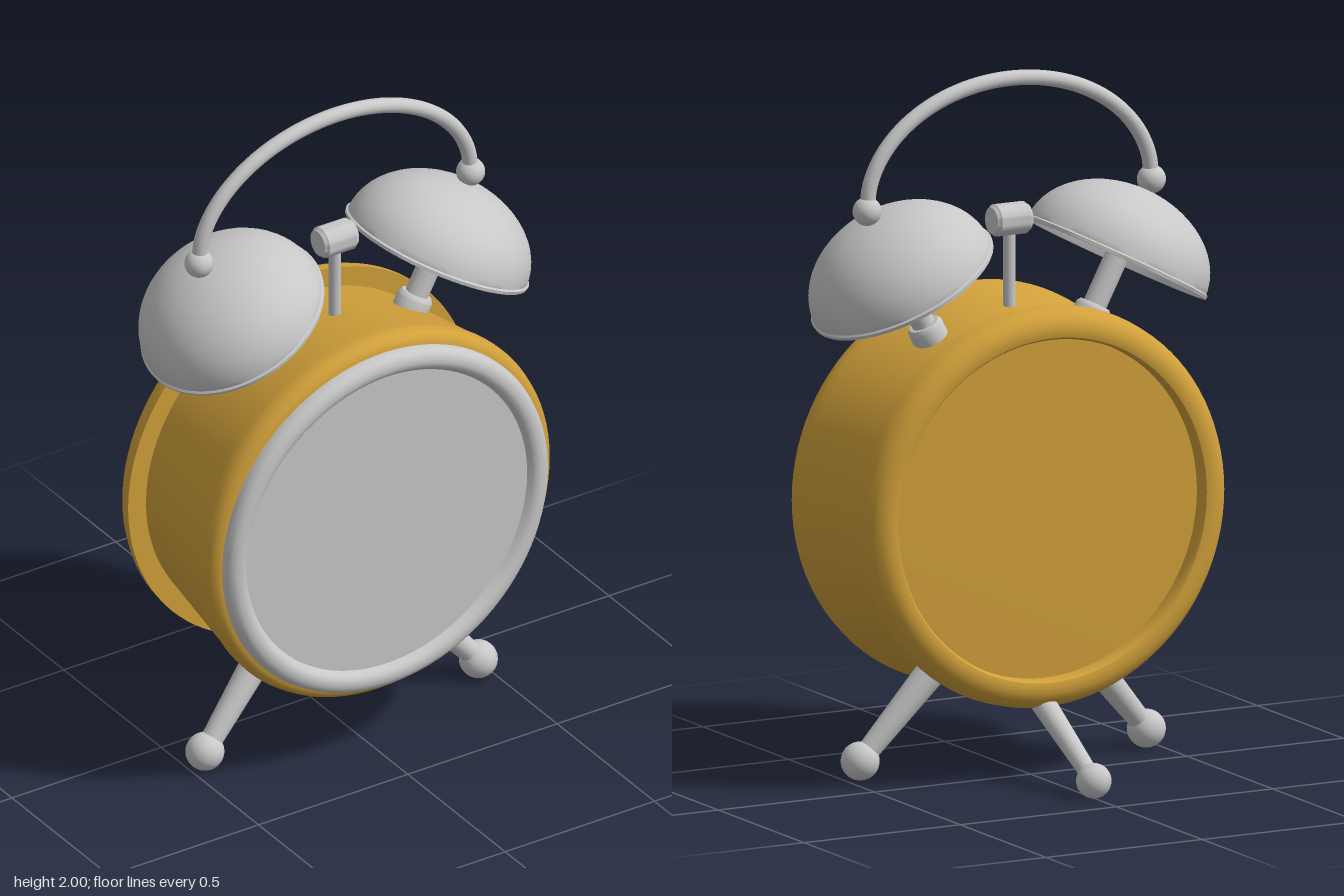
import * as THREE from 'three';
import { toCreasedNormals } from 'three/addons/utils/BufferGeometryUtils.js';

const gold = new THREE.MeshStandardMaterial({ color: 0xd0a03a });
gold.name = 'gold';
const silver = new THREE.MeshStandardMaterial({ color: 0xc8c8c8 });
silver.name = 'silver';

const CENTRE_Y = 0.785; // centre of the case
const AXIS_Z = 0.125;   // plane of bells, handle and hammer
const UP = new THREE.Vector3(0, 1, 0);
const v = (x, y, z) => new THREE.Vector3(x, y, z);

function add(parent, name, geometry, material, position = v(0, 0, 0)) {
  const mesh = new THREE.Mesh(geometry, material);
  mesh.name = name;
  mesh.position.copy(position);
  parent.add(mesh);
  return mesh;
}

// Turned solid from [radius, height] pairs, keeping sharp edges
function turned(profile, segments = 72) {
  const points = profile.map(([r, h]) => new THREE.Vector2(r, h));
  return toCreasedNormals(new THREE.LatheGeometry(points, segments), 0.65);
}

// Tapered rod between two points
function rod(parent, name, from, to, rFrom, rTo) {
  const dir = to.clone().sub(from);
  const geometry = new THREE.CylinderGeometry(rTo, rFrom, dir.length(), 24);
  const mesh = add(parent, name, geometry, silver, from.clone().add(to).multiplyScalar(0.5));
  mesh.quaternion.setFromUnitVectors(UP, dir.normalize());
  return mesh;
}

function ball(parent, name, position, radius) {
  return add(parent, name, new THREE.SphereGeometry(radius, 28, 18), silver, position);
}

// Hollow dome with a small lip; its opening lies at height 0
function bellGeometry() {
  const steps = 14, profile = [];
  for (let i = 0; i <= steps; i++) {
    const a = (Math.PI / 2) * (1 - i / steps);
    profile.push([0.26 * Math.cos(a), 0.196 * Math.sin(a)]);
  }
  profile.push([0.262, -0.006], [0.278, -0.006], [0.28, 0.004], [0.274, 0.008]);
  for (let i = 1; i <= steps; i++) {
    const a = (Math.PI / 2) * (i / steps);
    profile.push([0.274 * Math.cos(a), 0.208 * Math.sin(a)]);
  }
  profile[0][0] = profile[profile.length - 1][0] = 0;
  return turned(profile, 56);
}

export function createModel() {
  const clock = new THREE.Group();
  clock.name = 'alarmClock';

  // Case, bezel and dial, turned about the front-to-back axis
  const housing = new THREE.Group();
  housing.name = 'housing';
  housing.position.y = CENTRE_Y;
  housing.rotation.x = Math.PI / 2;
  clock.add(housing);

  add(housing, 'case', turned([
    [0, -0.088], [0.488, -0.08], [0.488, -0.118], [0.494, -0.127], [0.506, -0.13],
    [0.525, -0.129], [0.546, -0.121], [0.562, -0.105], [0.572, -0.083], [0.575, -0.055],
    [0.515, -0.055], [0.568, 0.29], [0.574, 0.315], [0.575, 0.335], [0.57, 0.355],
    [0.56, 0.368], [0.545, 0.375], [0, 0.375],
  ], 96), gold);

  add(housing, 'bezel', turned([
    [0.54, 0.365], [0.54, 0.385], [0.536, 0.398], [0.528, 0.408], [0.515, 0.414],
    [0.5, 0.415], [0.488, 0.412], [0.48, 0.405], [0.465, 0.385],
  ], 96), silver);

  const dial = add(housing, 'dial', new THREE.CircleGeometry(0.475, 72), silver, v(0, 0.392, 0));
  dial.rotation.x = -Math.PI / 2;

  // Bells with their posts, nuts and knobs, and the front legs
  const bell = bellGeometry();
  const tilt = 0.488;
  for (const [side, s] of [['left', 1], ['right', -1]]) {
    const mount = new THREE.Group();
    mount.name = side + 'BellAssembly';
    mount.position.set(0, CENTRE_Y, AXIS_Z);
    mount.rotation.z = -s * tilt;
    clock.add(mount);
    add(mount, side + 'Bell', bell, silver, v(0, 0.73, 0));
    rod(mount, side + 'BellPost', v(0, 0.53, 0), v(0, 0.928, 0), 0.034, 0.034);
    add(mount, side + 'BellNut', turned([
      [0, 0.52], [0.052, 0.52], [0.052, 0.575], [0.044, 0.586], [0, 0.586],
    ], 24), silver);

    ball(clock, side + 'HandleKnob', v(s * 0.455, 1.643, AXIS_Z), 0.041);

    const foot = v(s * 0.458, 0.06, 0.16);
    rod(clock, side + 'FrontLeg', v(s * 0.235, 0.315, 0.127), foot, 0.044, 0.03);
    ball(clock, side + 'FrontFoot', foot, 0.055);
  }

  // Arched carrying handle
  const arch = [];
  for (let i = 0; i <= 16; i++) {
    const a = (Math.PI * i) / 16;
    arch.push(v(0.455 * Math.cos(a), 1.65 + 0.328 * Math.sin(a), AXIS_Z));
  }
  add(clock, 'handle', new THREE.TubeGeometry(new THREE.CatmullRomCurve3(arch), 72, 0.022, 16), silver);

  // Hammer between the bells
  rod(clock, 'hammerRod', v(0, 1.28, AXIS_Z), v(0, 1.56, AXIS_Z), 0.018, 0.018);
  const head = add(clock, 'hammerHead', turned([
    [0, -0.057], [0.038, -0.057], [0.041, -0.05], [0.046, -0.046],
    [0.046, 0.046], [0.041, 0.05], [0.038, 0.057], [0, 0.057],
  ], 32), silver, v(0, 1.575, AXIS_Z));
  head.rotation.z = Math.PI / 2;

  // Rear leg
  const rearFoot = v(0, 0.055, -0.368);
  rod(clock, 'rearLeg', v(0, 0.238, -0.045), rearFoot, 0.036, 0.025);
  ball(clock, 'rearFoot', rearFoot, 0.05);

  return clock;
}
